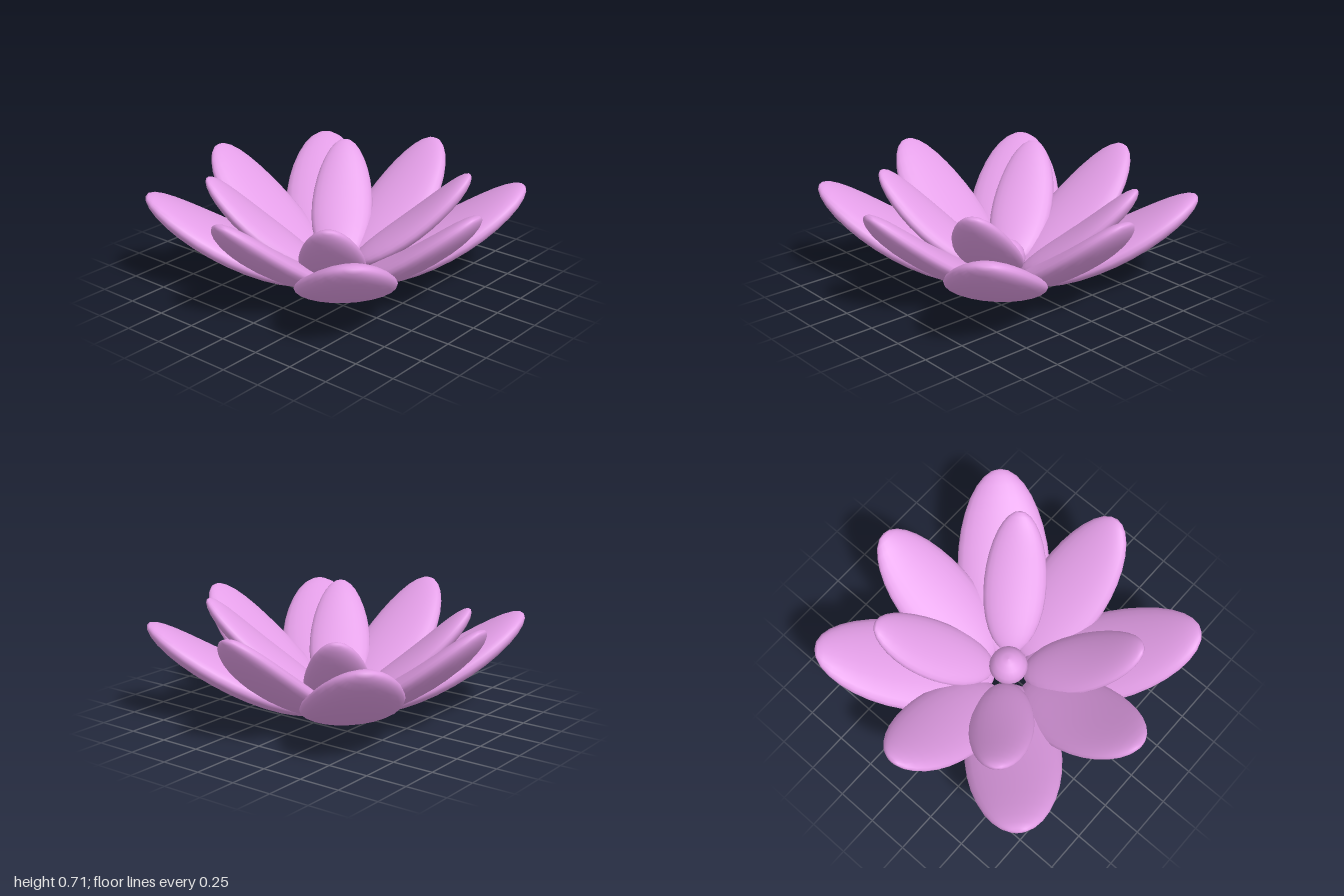
import * as THREE from 'three';
import { mergeVertices } from 'three/addons/utils/BufferGeometryUtils.js';

const material = new THREE.MeshStandardMaterial({ color: 0xe39ee7 });

// Flattened ellipsoid along +z: narrower at the tip, fuller ends,
// gently bent so both ends curl upward
function petalGeometry(halfWidth, halfThick, halfLength, sag) {
  let geo = new THREE.SphereGeometry(1, 24, 16);
  geo.rotateX(Math.PI / 2);
  geo.deleteAttribute('uv');
  geo.deleteAttribute('normal');
  geo = mergeVertices(geo, 1e-4);
  const p = geo.attributes.position;
  for (let i = 0; i < p.count; i++) {
    const u = p.getZ(i);
    p.setXYZ(
      i,
      p.getX(i) * halfWidth * (1 - 0.09 * u),
      p.getY(i) * halfThick * (1 - 0.06 * u + 0.25 * u * u) + sag * (u * u - 0.5),
      u * halfLength
    );
  }
  geo.computeVertexNormals();
  return geo;
}

// Four petals a quarter turn apart; radius and height locate the petal centre
function addRing(parent, name, geo, { azimuth, tilt, radius, height, lift = [0, 0, 0, 0] }) {
  const ring = new THREE.Group();
  ring.name = name + 'Ring';
  for (let i = 0; i < 4; i++) {
    const arm = new THREE.Group();
    arm.name = name;
    arm.rotation.y = THREE.MathUtils.degToRad(azimuth + 90 * i);
    const petal = new THREE.Mesh(geo, material);
    petal.name = name + 'Blade';
    petal.rotation.x = -THREE.MathUtils.degToRad(tilt);
    petal.position.set(0, height + lift[i], radius);
    arm.add(petal);
    ring.add(arm);
  }
  parent.add(ring);
}

export function createModel() {
  const flower = new THREE.Group();
  flower.name = 'flower';

  // Long, low outer petals on the diagonals
  addRing(flower, 'diagonalPetal', petalGeometry(0.29, 0.093, 0.592, 0.055),
    { azimuth: 43.9, tilt: 28, radius: 0.625, height: 0.285 });

  // Steeper outer petals on the main axes
  addRing(flower, 'axisPetal', petalGeometry(0.248, 0.078, 0.53, 0.05),
    { azimuth: 0, tilt: 36, radius: 0.58, height: 0.335 });

  // Small inner petals, one sitting slightly higher
  addRing(flower, 'innerPetal', petalGeometry(0.193, 0.07, 0.45, 0.04),
    { azimuth: 36, tilt: 40, radius: 0.455, height: 0.346, lift: [0.056, 0, 0, 0] });

  // Round centre on a small tapering base
  const profile = [[0, 0], [0.025, 0.005], [0.05, 0.05], [0.085, 0.085], [0.113, 0.12],
    [0.12, 0.155], [0.11, 0.2], [0.08, 0.24], [0.04, 0.262], [0, 0.27]];
  const centre = new THREE.Mesh(
    new THREE.LatheGeometry(profile.map(([x, y]) => new THREE.Vector2(x, y)), 24), material);
  centre.name = 'centre';
  flower.add(centre);

  return flower;
}
